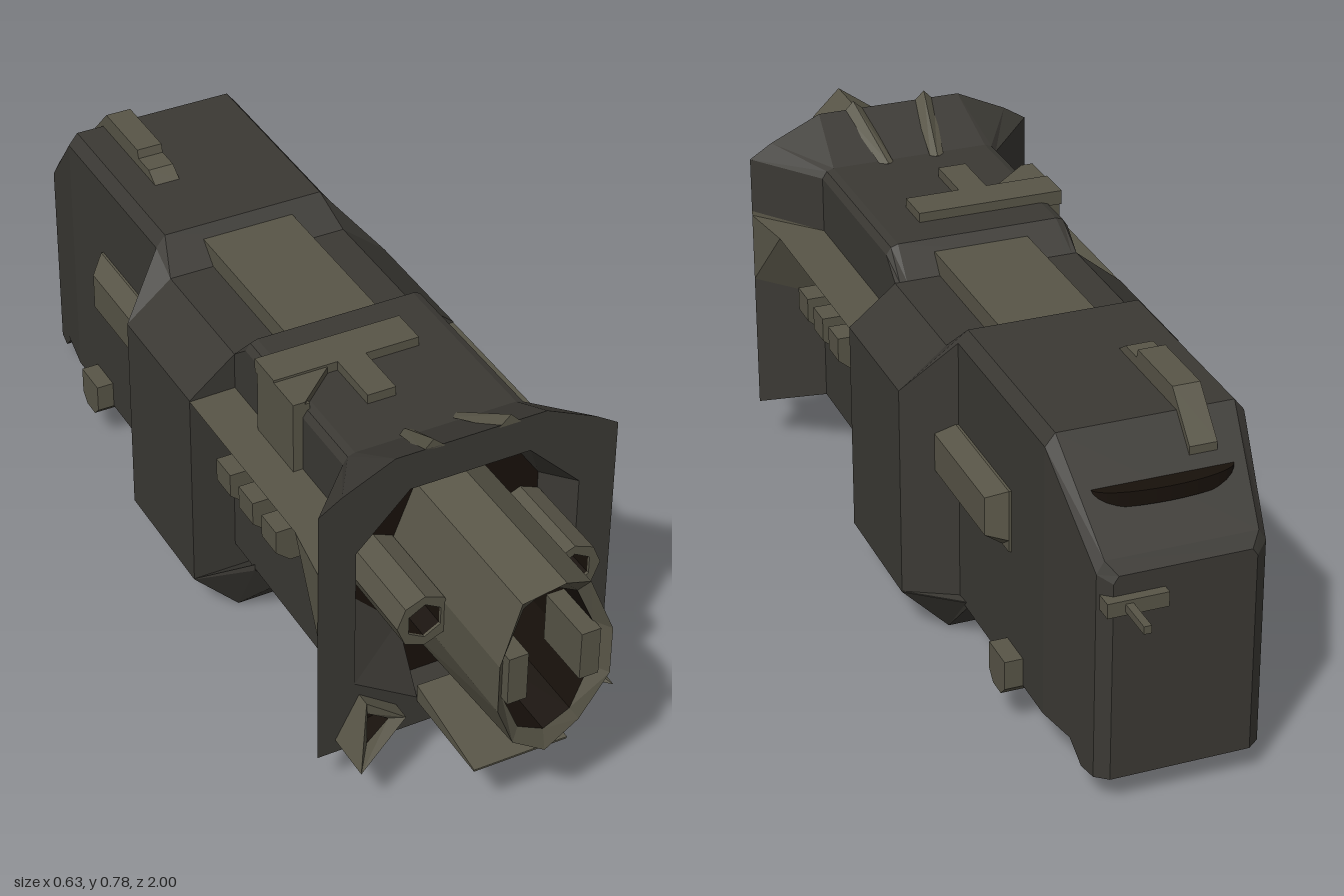
import * as THREE from 'three';

const paint = (color) => new THREE.MeshStandardMaterial({ color, flatShading: true, side: THREE.DoubleSide });

// Mirrored ring from a half outline (top to bottom, +x side); points are [x, y, optional z]
function ring(half, z) {
  const right = half.map(([x, y, pz]) => [x, y, pz ?? z]);
  const left = right.filter((p) => p[0] !== 0).reverse().map(([x, y, pz]) => [-x, y, pz]);
  return [...right, ...left];
}
// Rectangular ring, clockwise as seen from +z
const rect = (x0, x1, y0, y1, z) => [[x0, y1, z], [x1, y1, z], [x1, y0, z], [x0, y0, z]];
const at = (points, z) => points.map(([x, y]) => [x, y, z]);

// Faceted skin through rings listed front to back
function loft(rings, { closed = true, capFront = false, capBack = false } = {}) {
  const pos = [];
  const tri = (a, b, c) => pos.push(...a, ...b, ...c);
  for (let r = 0; r < rings.length - 1; r++) {
    const a = rings[r], b = rings[r + 1], n = a.length;
    for (let i = 0; i < (closed ? n : n - 1); i++) {
      const j = (i + 1) % n;
      tri(a[i], a[j], b[i]);
      tri(a[j], b[j], b[i]);
    }
  }
  const cap = (rg, dir) => {
    const pts = rg.map((p) => new THREE.Vector2(p[0], p[1]));
    for (const [i, j, k] of THREE.ShapeUtils.triangulateShape(pts, [])) {
      const area = THREE.ShapeUtils.area([pts[i], pts[j], pts[k]]);
      if (area * dir > 0) tri(rg[i], rg[j], rg[k]);
      else tri(rg[i], rg[k], rg[j]);
    }
  };
  if (capFront) cap(rings[0], 1);
  if (capBack) cap(rings[rings.length - 1], -1);
  const g = new THREE.BufferGeometry();
  g.setAttribute('position', new THREE.Float32BufferAttribute(pos, 3));
  g.computeVertexNormals();
  return g;
}
const solid = (...rings) => loft(rings, { capFront: true, capBack: true });
const box = (x0, x1, y0, y1, z0, z1) =>
  new THREE.BoxGeometry(x1 - x0, y1 - y0, z1 - z0).translate((x0 + x1) / 2, (y0 + y1) / 2, (z0 + z1) / 2);
const toShape = (points) => new THREE.Shape(points.map(([x, y]) => new THREE.Vector2(x, y)));

export function createModel() {
  const model = new THREE.Group();
  const hull = paint(0x3b3934), trim = paint(0x585547), dark = paint(0x18110b);
  const add = (name, geo, mat) => {
    const m = new THREE.Mesh(geo, mat);
    m.name = name;
    model.add(m);
    return m;
  };
  const pair = (name, geo, mat) => {
    add(name + 'Left', geo, mat);
    add(name + 'Right', geo, mat).scale.x = -1;
  };

  // Forward hull with an overhanging side band, flaring to the front collar
  const collar = [[0.157, 0.76], [0.265, 0.71], [0.313, 0.68], [0.313, 0.56], [0.313, 0.55], [0.313, 0.4], [0.313, 0.1], [0.1, 0.1]];
  const fore = [[0.17, 0.69], [0.185, 0.685], [0.195, 0.67], [0.195, 0.55], [0.293, 0.548], [0.2, 0.4], [0.2, 0.16], [0.1, 0.1]];
  const stations = [[collar, 0.66], [fore, 0.53], [fore, 0.13], [fore.map(([x, y]) => [x, Math.min(y, 0.63)]), 0.08]];
  add('foreHullTop', loft(stations.map(([h, z]) => {
    const r = ring(h.slice(0, 4), z);
    return [...r.slice(4), ...r.slice(0, 4)];
  }), { closed: false }), hull);
  pair('sideBand', loft(stations.map(([h, z]) => at(h.slice(3, 6), z)), { closed: false }), trim);
  add('foreHullBottom', loft(stations.map(([h, z]) => ring(h.slice(5), z)), { closed: false }), hull);

  // Vents tucked under the side band
  const vent = [[0.19, 0.475], [0.285, 0.475], [0.285, 0.425], [0.255, 0.4], [0.19, 0.4]];
  for (const z of [0.405, 0.307, 0.21]) pair('vent', solid(at(vent, z + 0.03), at(vent, z - 0.03)), trim);

  // Collar face with a recessed opening
  const mouth = [[0.125, 0.68], [0.235, 0.57], [0.235, 0.39], [0.235, 0.255], [0.1, 0.167], [0, 0.102]];
  const throat = [[0.105, 0.68], [0.195, 0.55], [0.195, 0.39], [0.1, 0.295], [0.1, 0.17], [0, 0.11]];
  const face = toShape(ring(collar, 0));
  face.holes.push(toShape(ring(mouth, 0)));
  add('collarFace', new THREE.ShapeGeometry(face).translate(0, 0, 0.66), hull);
  add('collarFunnel', loft([ring(throat, 0.58), ring(mouth, 0.66)]), hull);
  add('collarBack', loft([ring(throat, 0.58)], { capFront: true }), dark);

  // Collar ridges
  pair('collarRidge', solid(
    [[0.055, 0.755, 0.66], [0.08, 0.778, 0.66], [0.102, 0.755, 0.66]],
    [[0.04, 0.685, 0.51], [0.055, 0.692, 0.51], [0.07, 0.685, 0.51]]), trim);

  // Faceted barrel
  const outer = [[0, 0.665, 1], [0.07, 0.62, 0.97], [0.117, 0.5, 0.98], [0.117, 0.395, 0.98], [0.07, 0.285, 0.96], [0, 0.237, 0.96]];
  const root = [[0, 0.665], [0.07, 0.62], [0.117, 0.5], [0.117, 0.395], [0.075, 0.265], [0, 0.2]];
  const bore = [[0, 0.62], [0.055, 0.59], [0.092, 0.505], [0.092, 0.4], [0.055, 0.31], [0, 0.282]];
  add('barrel', loft([ring(bore, 0.95), ring(outer), ring(root, 0.58)]), trim);
  add('barrelBore', loft([ring(bore, 0.7), ring(bore, 0.95)], { capFront: true }), dark);
  pair('barrelGuide', box(0.055, 0.095, 0.4, 0.505, 0.85, 0.975), trim);

  // Eight-sided tubes with six-sided bores
  const polygon = (n, r) => Array.from({ length: n }, (_, i) => {
    const a = Math.PI / 2 - (i * 2 * Math.PI) / n;
    return [0.157 + r * Math.cos(a), 0.472 + r * Math.sin(a)];
  });
  const tube = toShape(polygon(8, 0.057));
  tube.holes.push(toShape(polygon(6, 0.038)));
  pair('sideTube', new THREE.ExtrudeGeometry(tube, { depth: 0.21, bevelEnabled: false }).translate(0, 0, 0.57), trim);
  pair('sideTubeBore', loft([at(polygon(6, 0.0375), 0.67), at(polygon(6, 0.0375), 0.775)], { capFront: true }), dark);

  // Hollow triangular spikes
  const spike = [[0.225, 0.225, 0.69], [0.275, 0.13, 0.765], [0.145, 0.167, 0.7]];
  const hollow = [[0.223, 0.2, 0.69], [0.24, 0.157, 0.72], [0.178, 0.17, 0.69]];
  pair('spike', loft([hollow, spike, at(spike, 0.64)]), trim);
  pair('spikeHollow', loft([at(hollow, 0.665), hollow], { capFront: true }), dark);

  // Lower lip under the barrel
  add('lowerLip', solid(ring([[0.1, 0.16, 0.88], [0, 0.1, 0.82]]), ring([[0.1, 0.16], [0, 0.1]], 0.56)), hull);
  add('lipRamp', solid(rect(-0.1, 0.1, 0.158, 0.162, 0.88), rect(-0.1, 0.1, 0.158, 0.197, 0.66)), trim);

  // Wide middle section and belly
  const mid = [[0.195, 0.63], [0.293, 0.55], [0.293, 0.1]];
  const aft = [[0.175, 0.69], [0.195, 0.665], [0.195, 0.1]];
  add('middleHull', solid(ring(mid, 0.08), ring(mid, -0.21), ring(aft, -0.275)), hull);
  const keel = [[0.293, 0.102], [0.293, 0.1], [0.195, 0]];
  add('belly', solid(
    ring([[0.2, 0.17], [0.2, 0.155], [0.14, 0.1]], 0.17),
    ring(keel, 0.08), ring(keel, -0.21),
    ring([[0.195, 0.112], [0.195, 0.11], [0.19, 0.1]], -0.31)), hull);
  add('bellyBlock', box(-0.06, 0.06, 0.06, 0.12, 0.05, 0.165), hull);
  add('topPanel', box(-0.1, 0.1, 0.6, 0.67, -0.26, 0.11), trim);

  // Rear hull with sloped, narrowing tail
  add('rearHull', solid(
    ring(aft, -0.275), ring(aft, -0.71),
    ring([[0.15, 0.515], [0.165, 0.49], [0.165, 0.1]], -0.88),
    ring([[0.13, 0.49], [0.14, 0.475], [0.14, 0.1]], -0.9)), hull);
  add('tailFoot', solid(
    ring([[0.178, 0.11], [0.178, 0.098]], -0.8), ring([[0.172, 0.11], [0.172, 0.06]], -0.84),
    ring([[0.165, 0.11], [0.165, 0.06]], -0.88), ring([[0.14, 0.11], [0.14, 0.06]], -0.9)), hull);
  const brow = new THREE.CylinderGeometry(0.14, 0.14, 0.03, 16, 1, false, Math.PI / 2, Math.PI);
  add('tailBrow', brow.scale(1, 1, 0.28).translate(0, 0.593, -0.788), dark);

  // Bevelled flank rails
  const rail = [[0.18, 0.49], [0.2, 0.49], [0.235, 0.465], [0.235, 0.385], [0.2, 0.36], [0.18, 0.36]];
  const railEnd = rail.map(([x, y]) => [Math.min(x, 0.2), y]);
  pair('flankRail', solid(at(rail, -0.22), at(rail, -0.515), at(railEnd, -0.55)), trim);

  // Cross bar under the rear hull
  const bar = toShape([[0.53, 0.16], [0.53, 0.1], [0.55, 0.08], [0.59, 0.08], [0.61, 0.1], [0.61, 0.16]]);
  add('underBar', new THREE.ExtrudeGeometry(bar, { depth: 0.464, bevelEnabled: false })
    .rotateY(Math.PI / 2).translate(-0.232, 0, 0), trim);

  // Branching top fitting that wraps over one shoulder
  add('topCrossbar', box(-0.215, 0.095, 0.68, 0.71, 0.21, 0.29), trim);
  add('topStem', box(-0.08, -0.02, 0.68, 0.71, 0.29, 0.41), trim);
  const web = toShape([[-0.215, -0.28], [-0.09, -0.28], [-0.19, -0.37], [-0.215, -0.37]]);
  add('topWeb', new THREE.ExtrudeGeometry(web, { depth: 0.025, bevelEnabled: false })
    .rotateX(-Math.PI / 2).translate(0, 0.68, 0), trim);
  add('shoulderBlock', box(-0.215, -0.18, 0.54, 0.7, 0.22, 0.37), trim);

  // Stepped fin on the rear roof
  add('roofFin', solid(rect(-0.115, -0.06, 0.68, 0.69, -0.45), rect(-0.115, -0.06, 0.68, 0.71, -0.48),
    rect(-0.115, -0.06, 0.68, 0.71, -0.53), rect(-0.115, -0.06, 0.68, 0.728, -0.535),
    rect(-0.115, -0.06, 0.66, 0.728, -0.69), rect(-0.115, -0.06, 0.6, 0.645, -0.77)), trim);

  // Tail antenna
  add('antennaBase', box(0.04, 0.16, 0.42, 0.45, -0.92, -0.87), trim);
  add('antenna', box(0.11, 0.125, 0.427, 0.443, -1, -0.91), trim);
  return model;
}
